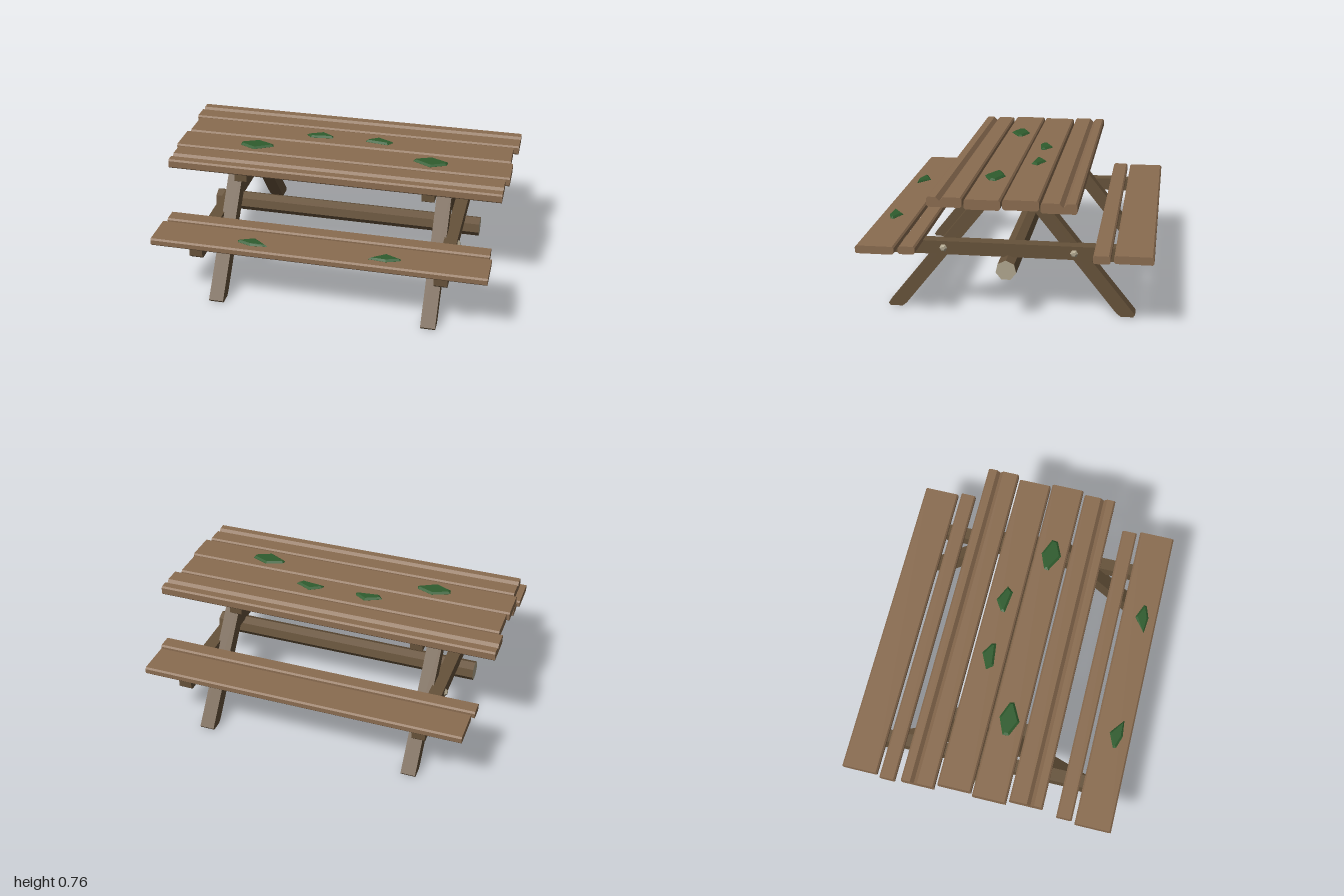
import * as THREE from 'three';

const material = (name, color) => {
  const m = new THREE.MeshStandardMaterial({ color });
  m.name = name;
  return m;
};

export function createModel() {
  const model = new THREE.Group();
  model.name = 'picnicTable';
  const plankWood = material('plankWood', 0x8a6c50);
  const frameWood = material('frameWood', 0x66523a);
  const paleGrey = material('paleGrey', 0xb0a68e);
  const moss = material('moss', 0x2f5c2e);

  const add = (name, geometry, mat) => {
    const mesh = new THREE.Mesh(geometry, mat);
    mesh.name = name;
    model.add(mesh);
    return mesh;
  };
  const toShape = (points) => new THREE.Shape(points.map(([a, b]) => new THREE.Vector2(a, b)));

  // Extrudes a [z, y] outline along x from x0 to x1
  const alongX = (points, x0, x1) =>
    new THREE.ExtrudeGeometry(toShape(points), { depth: x1 - x0, bevelEnabled: false })
      .rotateY(-Math.PI / 2)
      .translate(x1, 0, 0);

  // Plank with chamfered long edges and an optional V groove at z = groove
  const plank = (name, z0, z1, y0, y1, x0, x1, groove) => {
    const c = 0.009;
    const cut = groove === undefined ? [] : [[groove + 0.02, y1], [groove, y1 - 0.022], [groove - 0.02, y1]];
    add(name, alongX([
      [z0 + c, y0], [z1 - c, y0], [z1, y0 + c], [z1, y1 - c], [z1 - c, y1],
      ...cut,
      [z0 + c, y1], [z0, y1 - c], [z0, y0 + c],
    ], x0, x1), plankWood);
  };

  // Table top
  [
    [-0.4, -0.211, -1, 1, -0.328],
    [-0.198, -0.006, -0.975, 0.97],
    [0.003, 0.195, -0.99, 0.985],
    [0.209, 0.398, -0.97, 0.962, 0.328],
  ].forEach(([z0, z1, x0, x1, groove]) => plank('topPlank', z0, z1, 0.69, 0.745, x0, x1, groove));

  // Seats
  [
    [-0.8, -0.59, -0.935, 0.93],
    [-0.572, -0.48, -0.95, 0.945],
    [0.476, 0.568, -0.935, 0.93],
    [0.587, 0.8, -0.95, 0.945],
  ].forEach(([z0, z1, x0, x1]) => plank('seatPlank', z0, z1, 0.407, 0.451, x0, x1));

  // Beam outline with chamfered lower corners
  const beam = (half, y0, y1, c) => [
    [-half + c, y0], [half - c, y0], [half, y0 + c], [half, y1], [-half, y1], [-half, y0 + c],
  ];

  // End frames: legs, beams and bolts
  for (const side of [-1, 1]) {
    const span = (a, b) => (side > 0 ? [a, b] : [-b, -a]);
    add('seatBeam', alongX(beam(0.78, 0.346, 0.422, 0.014), ...span(0.655, 0.73)), frameWood);
    add('topBeam', alongX(beam(0.359, 0.628, 0.704, 0.004), ...span(0.512, 0.585)), frameWood);
    for (const end of [-1, 1]) {
      const leg = [
        [0.62, 0], [0.69, 0], [0.7, 0.014], [0.16, 0.689], [0.06, 0.689], [0.595, 0.02],
      ].map(([z, y]) => [z * end, y]);
      add('leg', alongX(leg, ...span(0.58, 0.665)), frameWood);
      for (const [x, y, z] of [[0.73, 0.382, 0.362], [0.665, 0.656, 0.145]]) {
        const head = new THREE.CylinderGeometry(0.011, 0.024, 0.016, 6).toNonIndexed();
        head.computeVertexNormals();
        const bolt = add('bolt', head, paleGrey);
        bolt.rotation.z = -side * Math.PI / 2;
        bolt.position.set(side * (x + 0.006), y, z * end);
      }
    }
  }

  // Seven-sided log brace with pale cut ends
  const ring = Array.from({ length: 7 }, (_, i) => {
    const a = Math.PI / 2 + (i * Math.PI * 2) / 7;
    return [0.058 * Math.cos(a), 0.299 + 0.058 * Math.sin(a)];
  });
  add('logBrace', alongX(ring, -0.818, 0.818), [paleGrey, frameWood]);

  // Moss patches, outlines in [x, z], mirrored left and right
  const patches = [
    [0.747, [[0.62, 0.085], [0.52, 0.043], [0.425, 0.08], [0.42, 0.105], [0.525, 0.16], [0.615, 0.12]]],
    [0.747, [[0.265, -0.1], [0.17, -0.145], [0.105, -0.105], [0.1, -0.08], [0.235, -0.063]]],
    [0.453, [[0.465, 0.708], [0.375, 0.67], [0.285, 0.74], [0.385, 0.75], [0.46, 0.725]]],
  ];
  for (const [y, outline] of patches) {
    for (const side of [-1, 1]) {
      const geometry = new THREE.ExtrudeGeometry(toShape(outline.map(([x, z]) => [x * side, -z])), {
        depth: 0.002, bevelThickness: 0.01, bevelSize: 0.012, bevelOffset: -0.012, bevelSegments: 1,
      });
      add('mossPatch', geometry.rotateX(-Math.PI / 2).translate(0, y - 0.003, 0), moss);
    }
  }
  return model;
}
